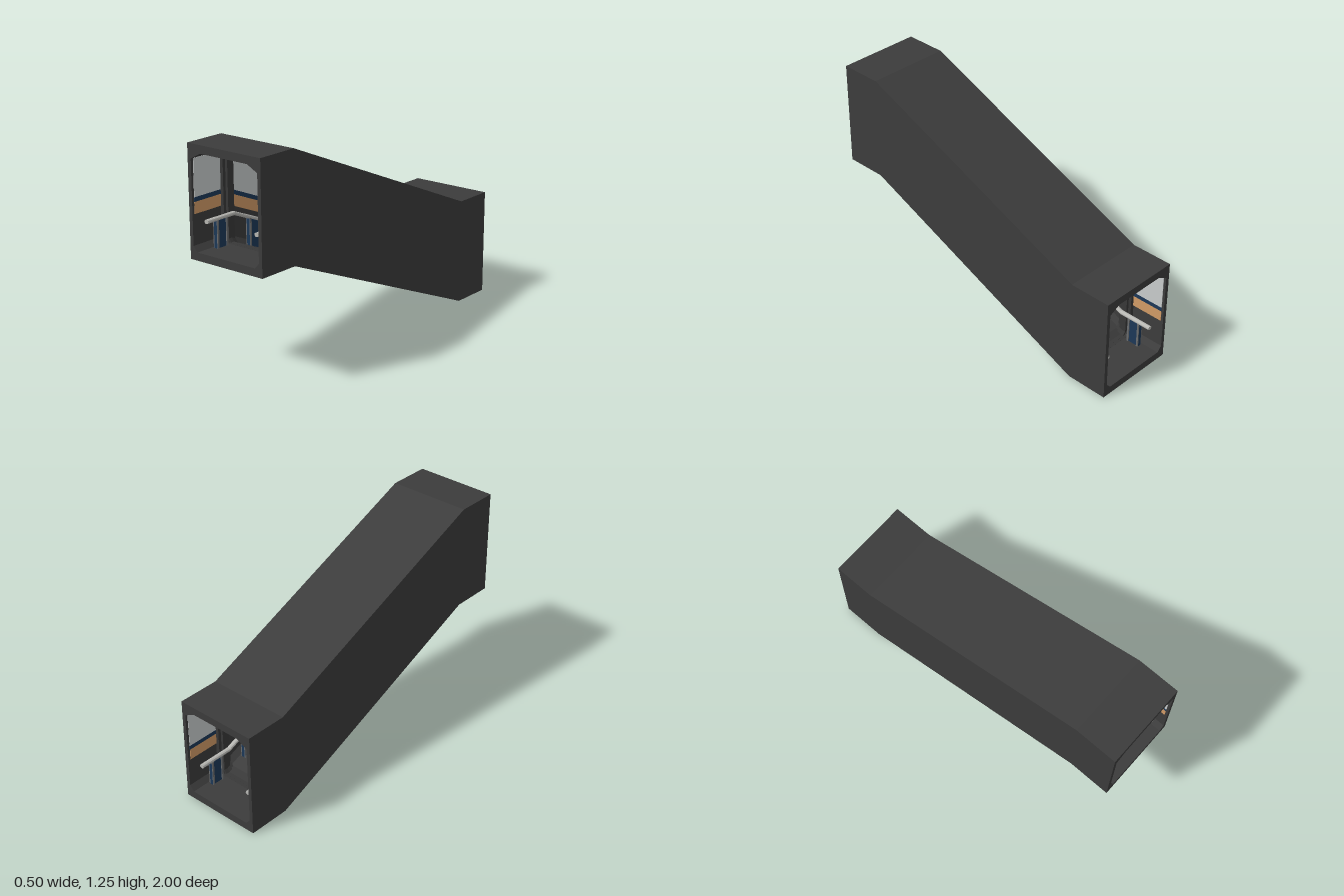
import * as THREE from 'three';

const BEND = 0.75, RISE = 0.625;
const mat = (name, color) => Object.assign(new THREE.MeshStandardMaterial({ color }), { name });

// Floor height of the corridor: level, ramp, level
const lift = z => RISE * THREE.MathUtils.clamp((z + BEND) / (2 * BEND), 0, 1);

const path = (pts, Kind = THREE.Shape) => new Kind(pts.map(p => new THREE.Vector2(p[0], p[1])));
const rect = (x0, x1, y0, y1) => [[x0, y0], [x1, y0], [x1, y1], [x0, y1]];

// Octagonal outline: half width, bottom, top, and chamfers of floor and ceiling corners
function octagon(w, y0, y1, bx, by, tx, ty) {
  const half = [[w - bx, y0], [w, y0 + by], [w, y1 - ty], [w - tx, y1]];
  return [...half, ...half.map(([x, y]) => [-x, y]).reverse()];
}

// Sweep a cross-section along z, following the ramp
function sweep(outline, z0, z1, hole) {
  const shape = path(outline);
  if (hole) shape.holes.push(path(hole, THREE.Path));
  const zs = [z0, ...[-BEND, BEND].filter(z => z > z0 && z < z1), z1];
  const steps = zs.length - 1;
  const geo = new THREE.ExtrudeGeometry(shape, { depth: steps, steps, bevelEnabled: false });
  const p = geo.attributes.position;
  for (let i = 0; i < p.count; i++) {
    const z = zs[Math.round(p.getZ(i))];
    p.setY(i, p.getY(i) + lift(z));
    p.setZ(i, z);
  }
  geo.computeVertexNormals();
  return geo;
}

export function createModel() {
  const group = new THREE.Group();
  group.name = 'rampCorridor';
  const shellMat = mat('charcoal', 0x3c3c3c);
  const ribMat = mat('ribGrey', 0x383838);
  const lightMat = mat('paleGrey', 0xc8cccc);
  const navyMat = mat('navy', 0x1c3858);
  const orangeMat = mat('tan', 0xd29b66);
  const railMat = mat('silver', 0xb8b8b4);
  const frameMat = mat('postGrey', 0x6a6c6e);

  const add = (name, geo, material, parent = group) => {
    const mesh = new THREE.Mesh(geo, material);
    mesh.name = name;
    parent.add(mesh);
  };

  // Outer shell with chamfered passage
  add('shell', sweep(rect(-0.25, 0.25, 0, RISE), -1, 1,
    octagon(0.228, 0.045, 0.58, 0.028, 0.03, 0.068, 0.035)), shellMat);

  // Ribs: a wide arch with a narrower one inside
  const ribOuter = octagon(0.238, 0.035, 0.59, 0.03, 0.03, 0.06, 0.03);
  for (const z of [-0.75, -0.25, 0.25, 0.75]) {
    add('rib', sweep(ribOuter, z - 0.04, z + 0.04,
      octagon(0.206, 0.0455, 0.579, 0.02, 0.025, 0.05, 0.07)), ribMat);
    add('ribInner', sweep(ribOuter, z - 0.022, z + 0.022,
      octagon(0.191, 0.046, 0.578, 0.015, 0.02, 0.04, 0.075)), ribMat);
  }

  for (const side of [-1, 1]) {
    const wall = new THREE.Group();
    wall.name = side > 0 ? 'leftWall' : 'rightWall';
    group.add(wall);

    // Painted wall bands
    const band = (name, y0, y1, material) =>
      add(name, sweep(rect(side * 0.225, side * 0.229, y0, y1), -0.985, 0.985), material, wall);
    band('upperPanel', 0.335, 0.543, lightMat);
    band('stripe', 0.31, 0.335, navyMat);
    band('middleBand', 0.245, 0.31, orangeMat);

    // Handrail
    const ring = Array.from({ length: 10 }, (_, i) => {
      const a = i * Math.PI / 5;
      return [side * 0.174 + 0.014 * Math.cos(a), 0.205 + 0.012 * Math.sin(a)];
    });
    add('handrail', sweep(ring, -0.955, 0.955), railMat, wall);

    // Rail supports: navy plate with slim grey edges
    for (const [z, half] of [[0.85, 0.04], [0.57, 0.07], [0.19, 0.07]]) {
      for (const c of [-z, z]) {
        add('railSupport', sweep(rect(side * 0.164, side * 0.184, 0.04, 0.2), c - half, c + half), navyMat, wall);
        for (const e of [-1, 1]) {
          const ze = c + e * (half - 0.006);
          for (const dx of [-0.0125, 0.0125]) {
            const x = side * 0.174 + dx;
            add('supportEdge', sweep(rect(x - 0.003, x + 0.003, 0.04, 0.2), ze - 0.006, ze + 0.006), frameMat, wall);
          }
        }
      }
    }
  }
  return group;
}
